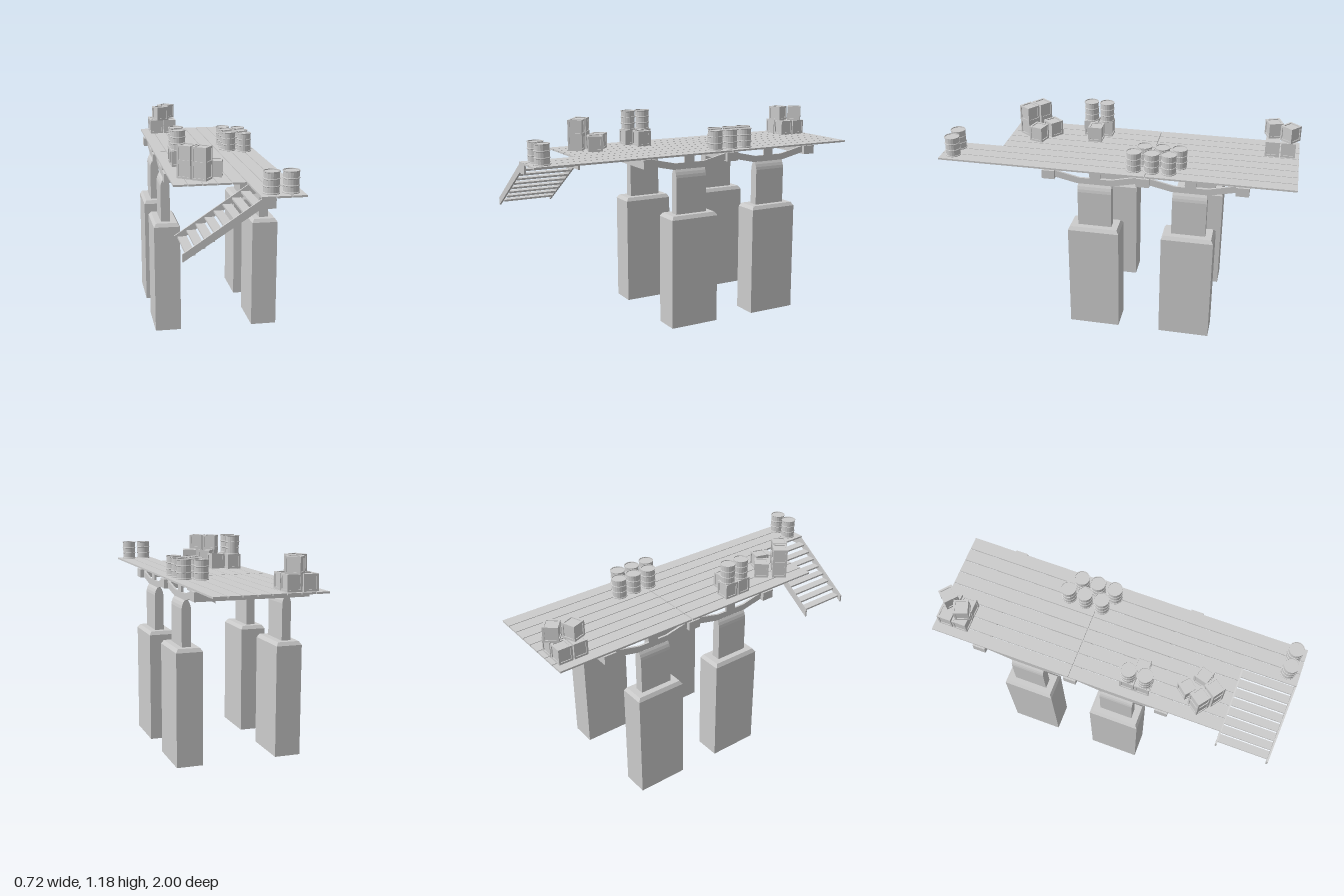
import * as THREE from 'three';

const grey = new THREE.MeshStandardMaterial({ color: 0xcccccc, flatShading: true, side: THREE.DoubleSide });
const DECK = 0.977;

function add(parent, name, geo, x = 0, y = 0, z = 0) {
  const m = new THREE.Mesh(geo, grey);
  m.name = name;
  m.position.set(x, y, z);
  parent.add(m);
  return m;
}

// Box given by its two opposite corners
function block(parent, name, x0, x1, y0, y1, z0, z1) {
  return add(parent, name, new THREE.BoxGeometry(x1 - x0, y1 - y0, z1 - z0),
    (x0 + x1) / 2, (y0 + y1) / 2, (z0 + z1) / 2);
}

// Outline in x-y extruded along z, centred on z = 0
function slab(points, depth) {
  const shape = new THREE.Shape(points.map(p => new THREE.Vector2(p[0], p[1])));
  return new THREE.ExtrudeGeometry(shape, { depth, bevelEnabled: false }).translate(0, 0, -depth / 2);
}

// Hollow pier, open below, with a chamfered top
function pierGeometry() {
  const s = Math.SQRT1_2;
  const g = new THREE.LatheGeometry([[1, 0], [1, 0.625], [0.9, 0.645], [0, 0.645]]
    .map(p => new THREE.Vector2(p[0] * s * 2, p[1])), 4, Math.PI / 4);
  const p = g.attributes.position;
  const inset = 0.013;
  for (let i = 0; i < p.count; i++) {
    const y = p.getY(i), r = Math.hypot(p.getX(i), p.getZ(i));
    const cut = y > 0.63 ? inset : 0, k = r < 0.1 ? 0 : 1;
    p.setX(i, k * Math.sign(p.getX(i)) * (0.074 - cut));
    p.setZ(i, k * Math.sign(p.getZ(i)) * (0.145 - cut));
  }
  g.computeVertexNormals();
  return g;
}

// Crate: recessed core inside twelve frame bars
function crate(parent, x, z, level = 0, turn = 0) {
  const W = 0.081, H = 0.087, b = 0.011;
  const g = new THREE.Group();
  g.name = 'crate';
  g.position.set(x, DECK + level * H + H / 2, z);
  g.rotation.y = THREE.MathUtils.degToRad(turn);
  add(g, 'cratePanel', new THREE.BoxGeometry(W - 0.01, H - 0.01, W - 0.01));
  const o = (W - b) / 2, oy = (H - b) / 2;
  for (const s of [-1, 1]) for (const t of [-1, 1]) {
    add(g, 'crateFrame', new THREE.BoxGeometry(b, H, b), s * o, 0, t * o);
    add(g, 'crateFrame', new THREE.BoxGeometry(W - 2 * b, b, b), 0, s * oy, t * o);
    add(g, 'crateFrame', new THREE.BoxGeometry(b, b, W - 2 * b), s * o, t * oy, 0);
  }
  parent.add(g);
}

// Barrel with end rims and two ribs
const barrelGeometry = new THREE.LatheGeometry([
  [0, 0], [0.043, 0], [0.043, 0.005], [0.04, 0.007], [0.04, 0.034], [0.043, 0.036], [0.043, 0.04],
  [0.04, 0.042], [0.04, 0.07], [0.043, 0.072], [0.043, 0.076], [0.04, 0.078], [0.04, 0.105],
  [0.043, 0.107], [0.043, 0.112], [0.039, 0.112], [0.039, 0.107], [0, 0.107],
].map(p => new THREE.Vector2(p[0], p[1])), 18);

export function createModel() {
  const model = new THREE.Group();
  model.name = 'pierPlatform';

  // Piers, posts and the cranked arms they carry
  const pier = pierGeometry();
  const half = [[0.026, 0.64], [0.026, 0.85], [0.023, 0.866], [0.017, 0.882], [0.009, 0.895]];
  const post = slab([...half, ...half.map(p => [-p[0], p[1]]).reverse()], 0.19);
  const arm = slab([
    [-0.245, 0.927], [-0.1, 0.895], [0.1, 0.895], [0.245, 0.927],
    [0.245, 0.965], [0.09, 0.93], [-0.09, 0.93], [-0.245, 0.965],
  ], 0.012).rotateY(Math.PI / 2);
  for (const s of [-1, 1]) for (const z of [0.095, -0.435]) {
    add(model, 'pier', pier, s * 0.284, 0, z);
    add(model, 'post', post, s * 0.286, 0, z);
    add(model, 'arm', arm, s * 0.288, 0, z);
    add(model, 'armSpacer', new THREE.BoxGeometry(0.012, 0.042, 0.06), s * 0.288, 0.949, z);
  }

  // Cross beams
  for (const z of [0.355, -0.175, -0.715]) block(model, 'crossBeam', -0.315, 0.315, 0.917, 0.967, z - 0.036, z + 0.036);

  // Deck planks, five of them cut short for the stair opening
  for (let i = 0; i < 8; i++) {
    const x = -0.305 + i * 0.0765;
    block(model, 'plank', x, x + 0.072, 0.967, DECK, -1, -0.187);
    block(model, 'plank', x, x + 0.072, 0.967, DECK, -0.181, i < 5 ? 0.69 : 1);
  }

  // Side stairs
  const stringer = slab([
    [-0.305, 0.671], [0.075, 0.917], [0.15, 0.917], [0.15, 0.967], [0.08, 0.967], [-0.305, 0.712],
  ], 0.01);
  for (const z of [0.695, 0.995]) add(model, 'stairStringer', stringer, 0, 0, z);
  for (let i = 0; i < 8; i++) {
    const x = -0.287 + i * 0.0467, y = 0.7 + i * 0.032;
    block(model, 'stairTread', x, x + 0.047, y, y + 0.01, 0.7, 0.99);
  }

  // Crates: [x, z, level, turn]
  [
    [-0.21, 0.53, 0, -37], [-0.21, 0.53, 1, -37], [-0.14, 0.587, 0, -35], [-0.14, 0.587, 1, -35],
    [-0.15, 0.447, 0, -40], [-0.06, 0.51, 0, -16],
    [-0.215, 0.135, 0, 0], [-0.215, 0.222, 0, 0], [-0.127, 0.18, 0, 0],
    [-0.215, -0.935, 0, 0], [-0.128, -0.935, 0, 0], [-0.215, -0.847, 0, 0], [-0.128, -0.847, 0, 0],
    [-0.14, -0.94, 1, -40], [-0.187, -0.845, 1, 20],
  ].forEach(c => crate(model, ...c));

  // Barrels: [x, z, height of base]
  [
    [0.145, -0.353], [0.145, -0.257], [0.145, -0.157], [0.23, -0.305], [0.23, -0.21], [0.23, -0.11],
    [0.14, 0.932], [0.238, 0.932], [-0.215, 0.132, 0.087], [-0.215, 0.225, 0.087],
  ].forEach(([x, z, y = 0]) => add(model, 'barrel', barrelGeometry, x, DECK + y, z));

  return model;
}
